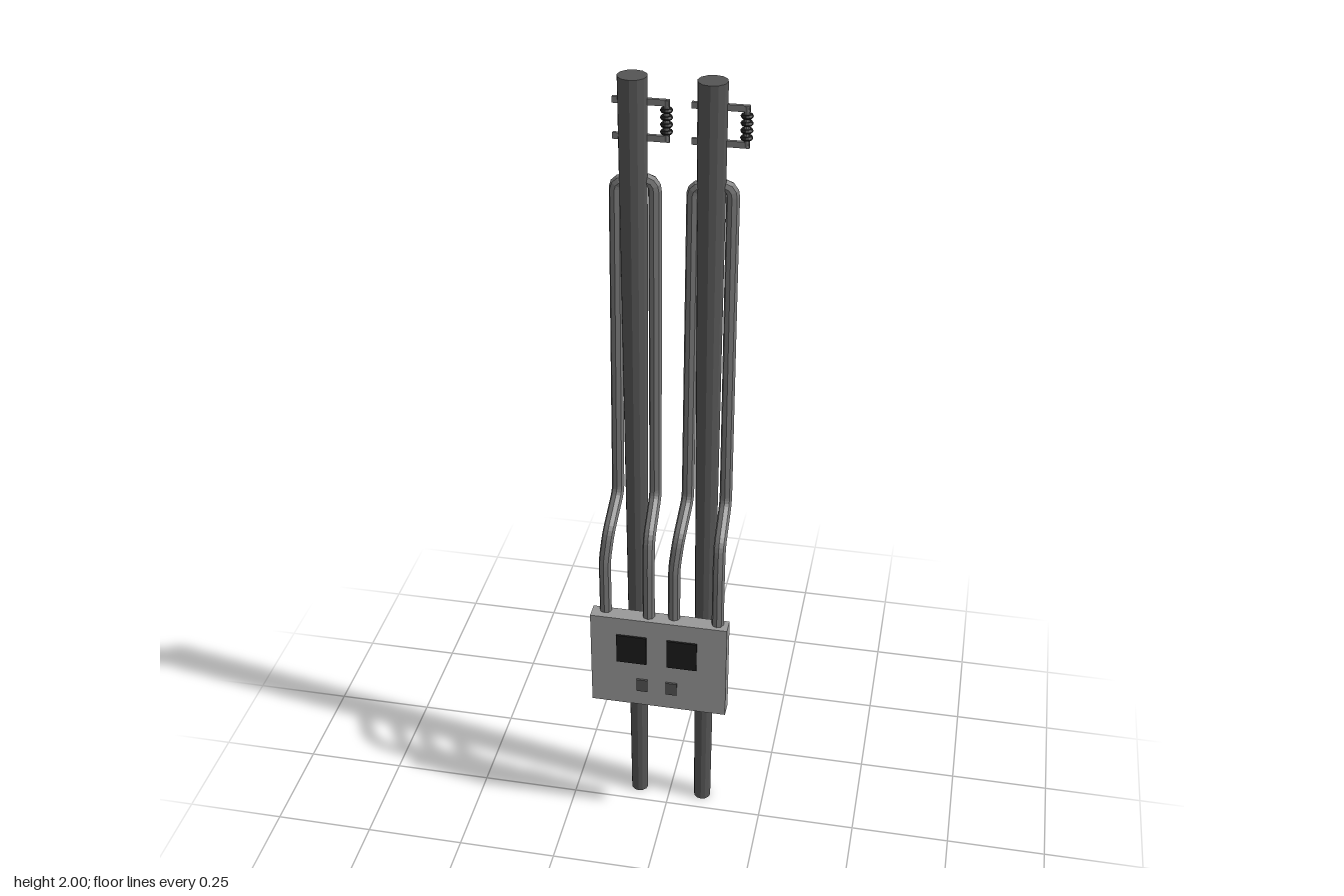
import * as THREE from 'three';

const mat = (color) => new THREE.MeshStandardMaterial({ color, flatShading: true });
const poleMat = mat(0x555555);
const conduitMat = mat(0x777777);
const panelMat = mat(0x999999);
const blackMat = mat(0x1c1c1c);
const POLE_Z = -0.054;

function add(parent, name, geometry, material, x, y, z) {
  const mesh = new THREE.Mesh(geometry, material);
  mesh.name = name;
  mesh.position.set(x, y, z);
  parent.add(mesh);
  return mesh;
}

// Tube along straight runs with short rounded bends
function bentPipe(points, radius, bend) {
  const path = new THREE.CurvePath();
  const p = points.map((a) => new THREE.Vector3(...a));
  let from = p[0];
  for (let i = 1; i < p.length - 1; i++) {
    const before = p[i].clone().add(p[i - 1].clone().sub(p[i]).setLength(bend));
    const after = p[i].clone().add(p[i + 1].clone().sub(p[i]).setLength(bend));
    path.add(new THREE.LineCurve3(from, before));
    path.add(new THREE.QuadraticBezierCurve3(before, p[i], after));
    from = after;
  }
  path.add(new THREE.LineCurve3(from, p[p.length - 1]));
  return new THREE.TubeGeometry(path, 120, radius, 8, false);
}

function createPole(x) {
  const pole = new THREE.Group();
  pole.name = 'poleAssembly';
  pole.position.x = x;

  // Tapered pole
  add(pole, 'pole', new THREE.CylinderGeometry(0.033, 0.022, 2, 12), poleMat, 0, 1, POLE_Z);

  // Two conduits: out of the pole, down its side, then forward into the panel
  const runs = [
    ['rightConduit', -0.039, -0.045, -0.059, -0.052, 0.049],
    ['leftConduit', 0.046, 0.047, 0.05, -0.062, 0.055],
  ];
  for (const [name, topX, midX, endX, topZ, endZ] of runs) {
    const points = [
      [0, 1.765, topZ],
      [topX, 1.765, topZ],
      [midX, 0.96, -0.05],
      [(midX + endX) / 2, 0.89, endZ - 0.015],
      [endX, 0.82, endZ],
      [endX, 0.65, endZ],
    ];
    add(pole, name, bentPipe(points, 0.015, 0.022), conduitMat, 0, 0, 0);
  }

  // Bracket arms through the pole
  for (const y of [1.865, 1.945]) {
    add(pole, 'bracketArm', new THREE.BoxGeometry(0.124, 0.014, 0.008), conduitMat, 0.018, y, POLE_Z);
  }

  // Ribbed insulator held between the arms
  add(pole, 'insulatorRod', new THREE.CylinderGeometry(0.006, 0.006, 0.09, 8), conduitMat, 0.073, 1.905, POLE_Z);
  for (let i = 0; i < 4; i++) {
    const ring = add(pole, 'insulatorRing', new THREE.TorusGeometry(0.009, 0.005, 6, 12), blackMat,
      0.073, 1.881 + i * 0.016, POLE_Z);
    ring.rotation.x = Math.PI / 2;
  }
  return pole;
}

export function createModel() {
  const model = new THREE.Group();
  model.name = 'twinPolesWithPanel';
  model.add(createPole(-0.083), createPole(0.088));

  // Control panel with two screens and two buttons
  const panel = new THREE.Group();
  panel.name = 'controlPanel';
  add(panel, 'panelBox', new THREE.BoxGeometry(0.34, 0.265, 0.04), panelMat, -0.005, 0.538, 0.06);
  for (const x of [-0.072, 0.054]) {
    add(panel, 'screen', new THREE.BoxGeometry(0.075, 0.082, 0.008), blackMat, x, 0.58, 0.081);
  }
  for (const x of [-0.046, 0.028]) {
    add(panel, 'button', new THREE.BoxGeometry(0.028, 0.036, 0.008), poleMat, x, 0.47, 0.081);
  }
  model.add(panel);
  return model;
}
